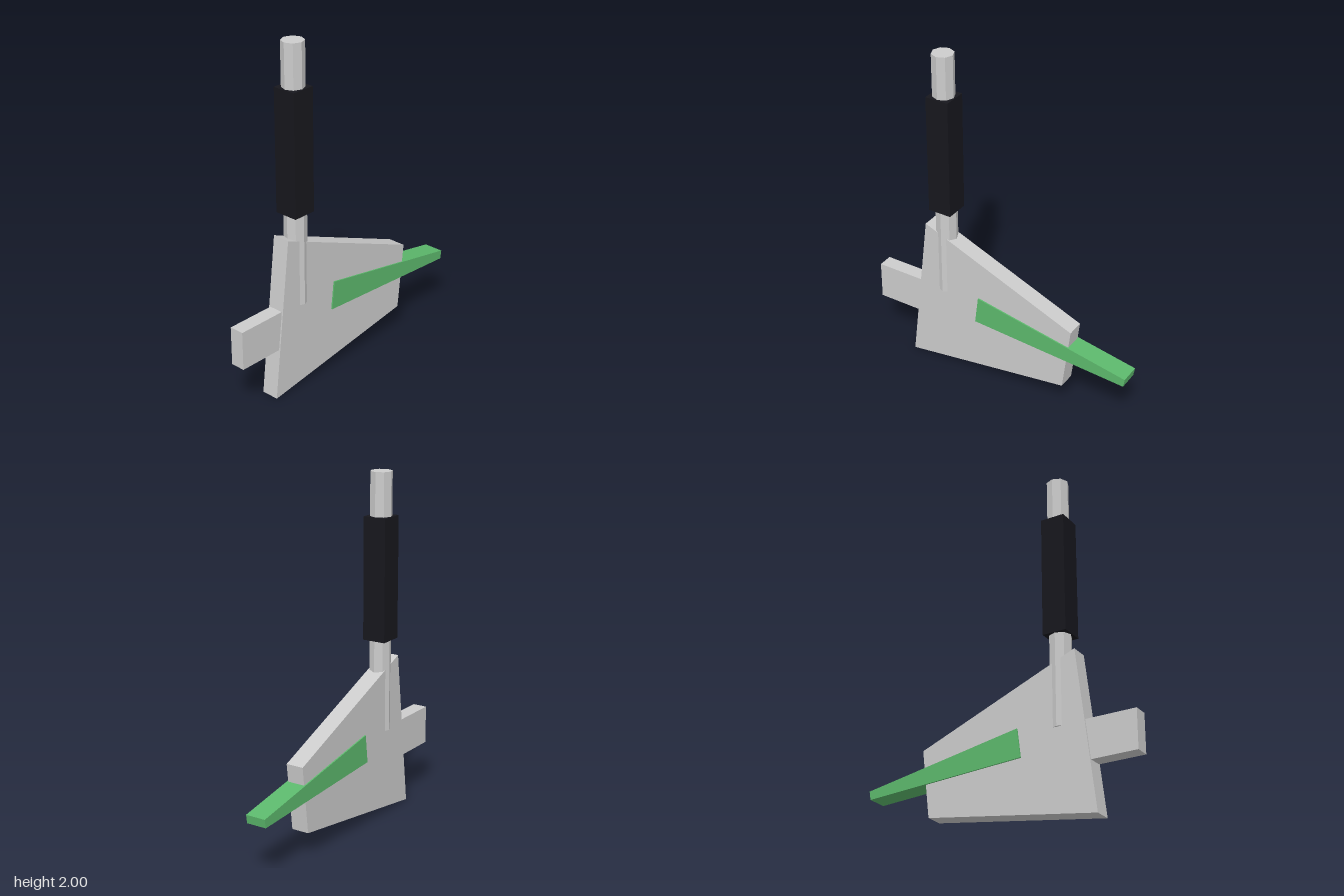
import * as THREE from 'three';

const material = (color) => new THREE.MeshStandardMaterial({ color, flatShading: true });

// Flat plate: outline in x/y, extruded symmetrically about z = 0
function plate(name, points, depth, mat) {
  const shape = new THREE.Shape(points.map(([x, y]) => new THREE.Vector2(x, y)));
  const geometry = new THREE.ExtrudeGeometry(shape, { depth, bevelEnabled: false });
  geometry.translate(0, 0, -depth / 2);
  const mesh = new THREE.Mesh(geometry, mat);
  mesh.name = name;
  return mesh;
}

function placed(name, geometry, mat, x, y) {
  const mesh = new THREE.Mesh(geometry, mat);
  mesh.name = name;
  mesh.position.set(x, y, 0);
  return mesh;
}

export function createModel() {
  const group = new THREE.Group();
  const grey = material(0xcccccc);
  const black = material(0x17171d);
  const green = material(0x5cb86c);
  const poleX = -0.37;

  // Tapered main head and the green wedge running through it
  group.add(plate('head', [[-0.59, 0.005], [0.425, 0.155], [0.47, 0.545], [-0.48, 0.93]], 0.104, grey));
  group.add(plate('wedge', [[-0.15, 0.382], [0.81, 0.325], [0.818, 0.375], [-0.13, 0.548]], 0.12, green));

  // Block at the back of the head
  group.add(placed('backBlock', new THREE.BoxGeometry(0.325, 0.225, 0.086), grey, -0.66, 0.408));

  // Octagonal pole with a square grip
  group.add(placed('pole', new THREE.CylinderGeometry(0.063, 0.063, 1.49, 8), grey, poleX, 1.255));
  group.add(placed('grip', new THREE.BoxGeometry(0.14, 0.705, 0.14), black, poleX, 1.398));

  return group;
}
